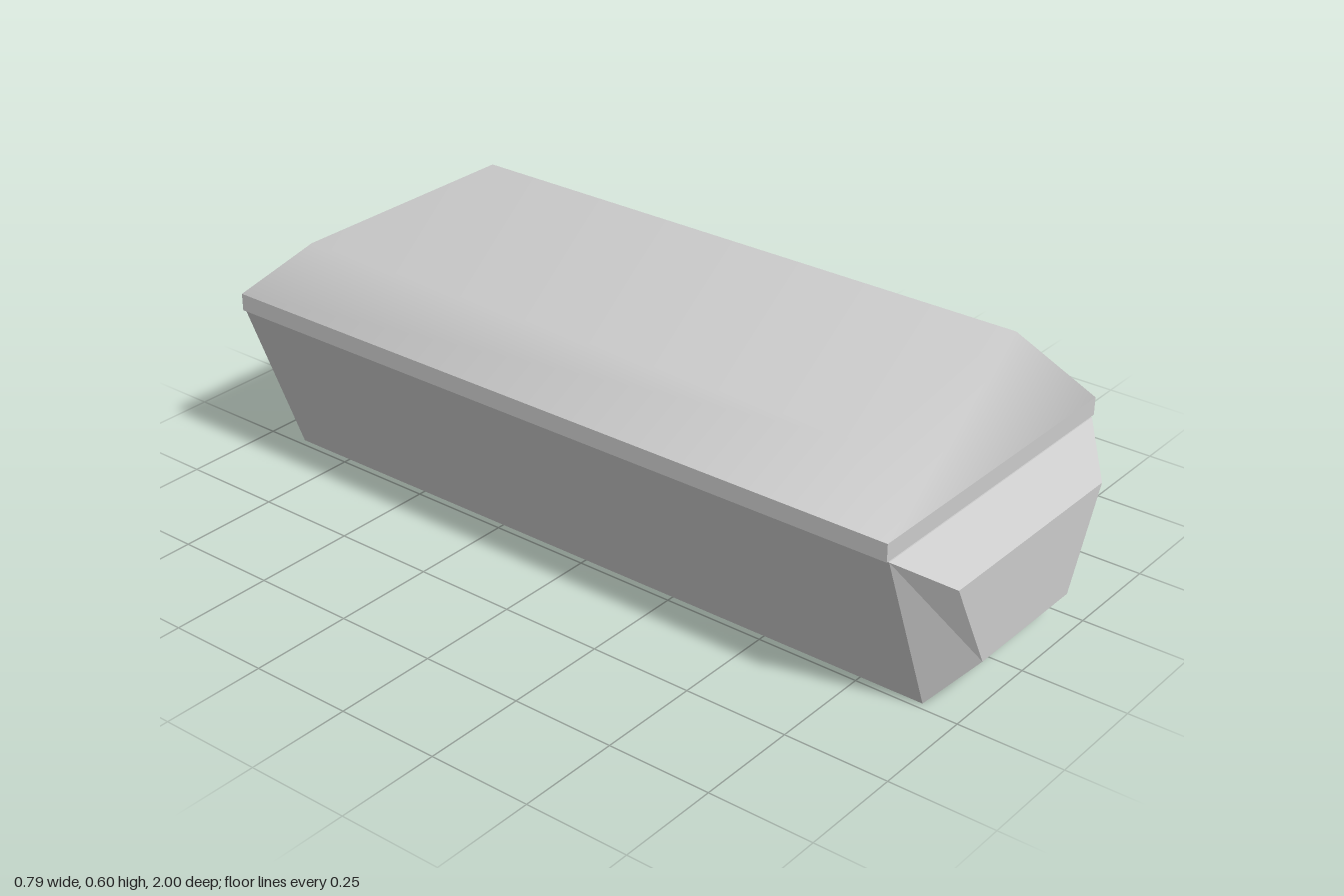
import * as THREE from 'three';

const material = new THREE.MeshStandardMaterial({ color: 0xcccccc });

// Skin a stack of four-cornered rings, each wound counter-clockwise seen from the last ring
function loft(rings, { smooth = false, startCap = true, endCap = true } = {}) {
  const index = [];
  for (let r = 0; r < rings.length - 1; r++) {
    for (let i = 0; i < 4; i++) {
      const a = r * 4 + i;
      const b = r * 4 + (i + 1) % 4;
      index.push(a, b, b + 4, a, b + 4, a + 4);
    }
  }
  const e = (rings.length - 1) * 4;
  if (startCap) index.push(0, 2, 1, 0, 3, 2);
  if (endCap) index.push(e, e + 1, e + 2, e, e + 2, e + 3);

  let geometry = new THREE.BufferGeometry();
  geometry.setAttribute('position', new THREE.Float32BufferAttribute(rings.flat(2), 3));
  geometry.setIndex(index);
  if (!smooth) geometry = geometry.toNonIndexed();
  geometry.computeVertexNormals();
  return geometry;
}

// Horizontal rectangle, for lofting upwards
const rectangle = (w, d, y) => [[-w, y, d], [w, y, d], [w, y, -d], [-w, y, -d]];

// Upright trapezoid, for lofting towards the front
const trapezoid = (w0, y0, w1, y1, z) => [[-w0, y0, z], [w0, y0, z], [w1, y1, z], [-w1, y1, z]];

export function createModel() {
  const group = new THREE.Group();
  const add = (name, geometry) => {
    const mesh = new THREE.Mesh(geometry, material);
    mesh.name = name;
    group.add(mesh);
    return mesh;
  };

  // Tapered trough with a raised, bevelled panel on each end
  add('body', loft([
    trapezoid(0.167, 0.108, 0.278, 0.33, -1),
    trapezoid(0.233, 0, 0.387, 0.41, -0.905),
    trapezoid(0.233, 0, 0.387, 0.41, 0.905),
    trapezoid(0.167, 0.108, 0.278, 0.33, 1),
  ]));

  // Lid: a crisp rim under a softly shaded hipped top
  add('lidRim', loft([rectangle(0.395, 0.905, 0.413), rectangle(0.395, 0.905, 0.455)], { endCap: false }));
  add('lidTop', loft([rectangle(0.395, 0.905, 0.455), rectangle(0.308, 0.75, 0.597)],
    { smooth: true, startCap: false }));

  // Thin pads between body and lid
  const pads = new THREE.Group();
  pads.name = 'pads';
  group.add(pads);
  const padGeometry = new THREE.BoxGeometry(0.155, 0.006, 0.27);
  for (const x of [-0.27, 0, 0.27]) {
    for (const z of [0.545, 0.175, -0.195]) {
      const pad = new THREE.Mesh(padGeometry, material);
      pad.name = 'pad';
      pad.position.set(x, 0.411, z);
      pads.add(pad);
    }
  }

  return group;
}
